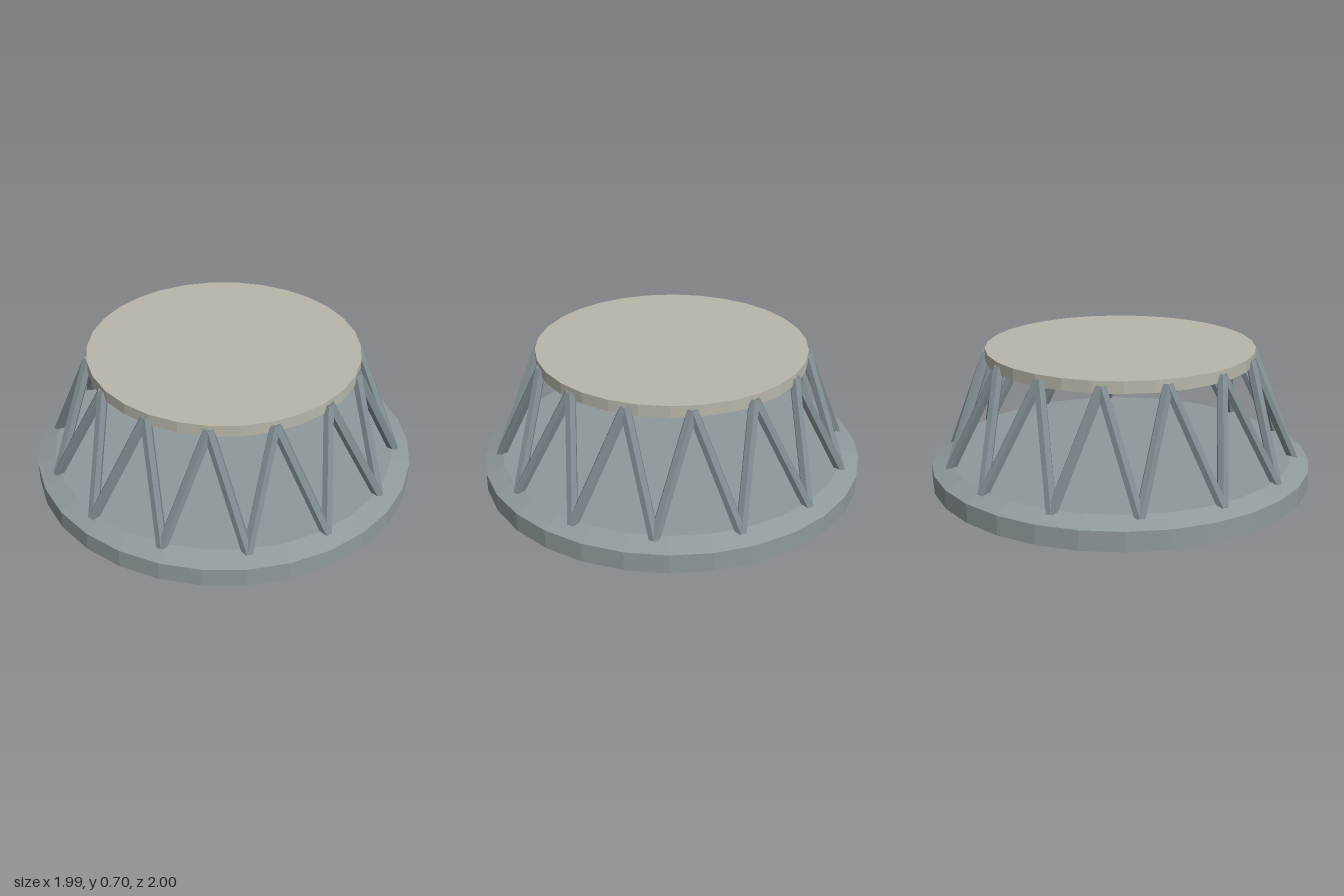
import * as THREE from 'three';

const material = (name, color) => {
  const m = new THREE.MeshStandardMaterial({ color });
  m.name = name;
  return m;
};

export function createModel() {
  const group = new THREE.Group();
  group.name = 'trussPedestal';
  const baseGrey = material('base grey', 0x8f9a9d);
  const strutGrey = material('strut grey', 0x7f8c91);
  const deckBeige = material('deck beige', 0xb9b7aa);

  const add = (name, geometry, mat) => {
    const flat = geometry.toNonIndexed();
    flat.computeVertexNormals();
    const mesh = new THREE.Mesh(flat, mat);
    mesh.name = name;
    group.add(mesh);
    return mesh;
  };

  // Round base with a bevelled upper rim
  const profile = [[0, 0], [1, 0], [1, 0.1], [0.905, 0.14], [0, 0.14]]
    .map(([r, y]) => new THREE.Vector2(r, y));
  add('base', new THREE.LatheGeometry(profile, 30), baseGrey);

  // Flat deck on top
  add('deck', new THREE.CylinderGeometry(0.7, 0.7, 0.06, 30), deckBeige).position.y = 0.675;

  // Zigzag ring of struts between base and deck
  const nodes = 28;
  const node = (i) => {
    const upper = i % 2 === 0;
    const a = (i / nodes) * Math.PI * 2;
    const r = upper ? 0.692 : 0.912;
    return new THREE.Vector3(Math.sin(a) * r, upper ? 0.675 : 0.122, Math.cos(a) * r);
  };
  for (let i = 0; i < nodes; i++) {
    const ends = [node(i), node(i + 1)];
    if (i % 2 === 0) ends.reverse();
    const [low, high] = ends;
    const axis = high.clone().sub(low);
    const strut = add('strut', new THREE.CylinderGeometry(0.028, 0.028, axis.length(), 6), strutGrey);
    strut.position.copy(low).add(high).multiplyScalar(0.5);
    strut.quaternion.setFromUnitVectors(new THREE.Vector3(0, 1, 0), axis.normalize());
  }
  return group;
}
